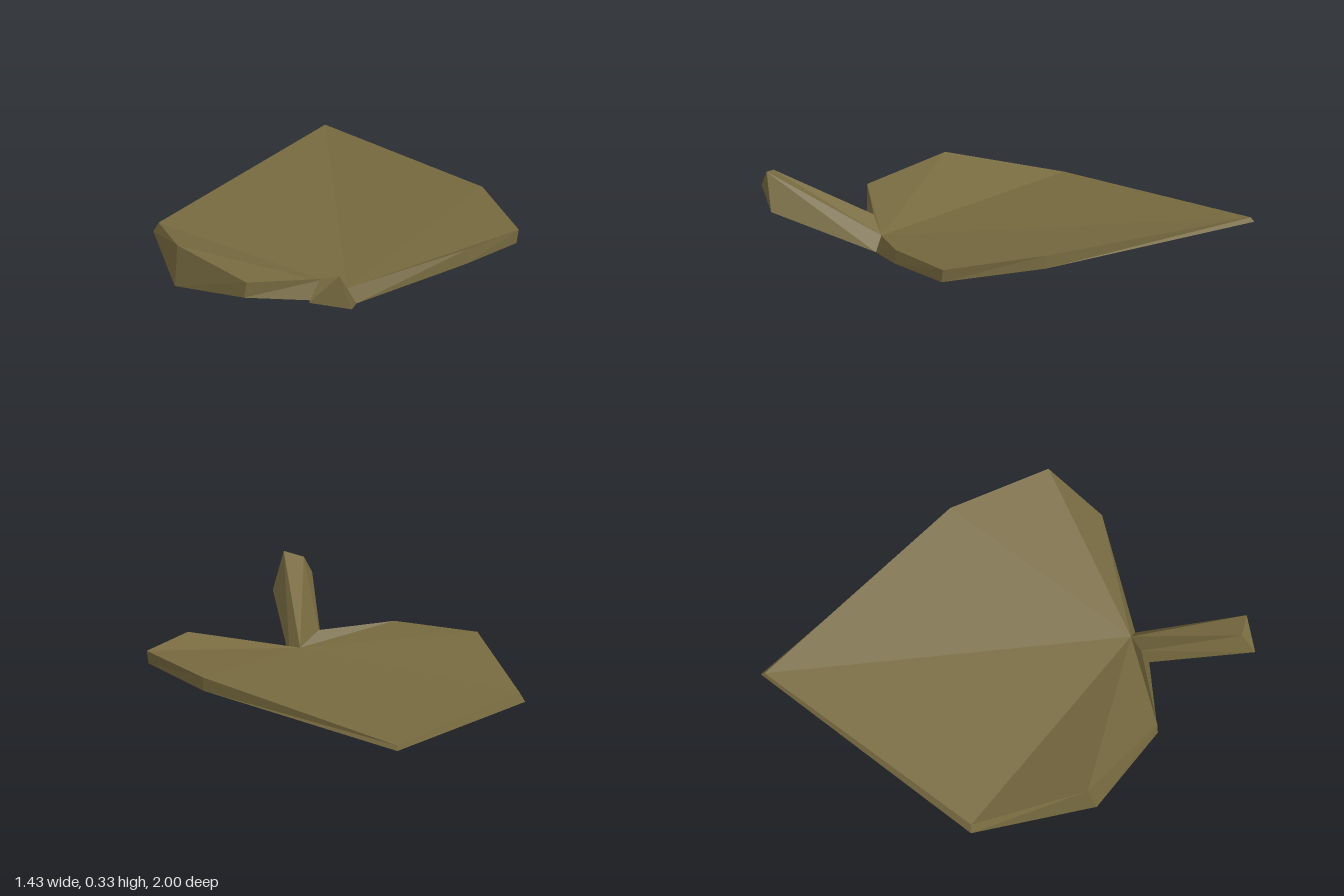
import * as THREE from 'three';

// Flat-sided geometry from polygons of corner points (counter-clockwise from outside)
function facets(polygons) {
  const pos = [];
  for (const p of polygons)
    for (let i = 1; i < p.length - 1; i++) pos.push(...p[0], ...p[i], ...p[i + 1]);
  const g = new THREE.BufferGeometry();
  g.setAttribute('position', new THREE.Float32BufferAttribute(pos, 3));
  g.computeVertexNormals();
  return g;
}

// Side quads joining two matching loops
function band(from, to, skip = -1) {
  const quads = [];
  from.forEach((p, i) => {
    const j = (i + 1) % from.length;
    if (i !== skip) quads.push([p, from[j], to[j], to[i]]);
  });
  return quads;
}

export function createModel() {
  const group = new THREE.Group();
  const olive = new THREE.MeshStandardMaterial({ color: 0x776a40 });
  olive.name = 'dry leaf olive';

  // Leaf outline, counter-clockwise from the tip; points 4 and 5 meet the stem
  const upper = [
    [0.09, 0.15, -0.985], [-0.695, 0.06, -0.28], [-0.685, 0.167, 0.21],
    [-0.445, 0.132, 0.55], [-0.115, 0.13, 0.55], [-0.025, 0.072, 0.525],
    [0.47, 0.205, 0.505], [0.712, 0.207, 0.33], [0.62, 0.22, -0.1],
  ];
  const lower = [
    [0.095, 0.132, -1], [-0.717, 0.02, -0.285], [-0.7, 0.001, 0.245],
    [-0.455, 0.065, 0.55], [-0.14, 0.045, 0.578], [0.01, 0.012, 0.55],
    [0.47, 0.145, 0.51], [0.702, 0.15, 0.335], [0.62, 0.163, -0.1],
  ];

  // Top folded along two creases running out from the stem; nearly flat underside
  const topFaces = [[5, 1, 2, 3, 4], [5, 8, 0, 1], [5, 6, 7, 8]]
    .map((p) => p.map((i) => upper[i]));
  const bottomFaces = [[4, 3, 2, 1, 0, 8, 7], [5, 4, 7, 6]]
    .map((p) => p.map((i) => lower[i]));
  const blade = new THREE.Mesh(
    facets([...topFaces, ...bottomFaces, ...band(lower, upper, 4)]), olive);
  blade.name = 'leafBlade';
  group.add(blade);

  // Four-sided stem rising from the base of the blade
  const root = [lower[4], lower[5], upper[5], upper[4]];
  const end = [
    [-0.247, 0.222, 1], [-0.067, 0.172, 0.975],
    [-0.12, 0.33, 0.99], [-0.195, 0.308, 0.955],
  ];
  const stem = new THREE.Mesh(facets([...band(root, end), end]), olive);
  stem.name = 'stem';
  group.add(stem);

  return group;
}
